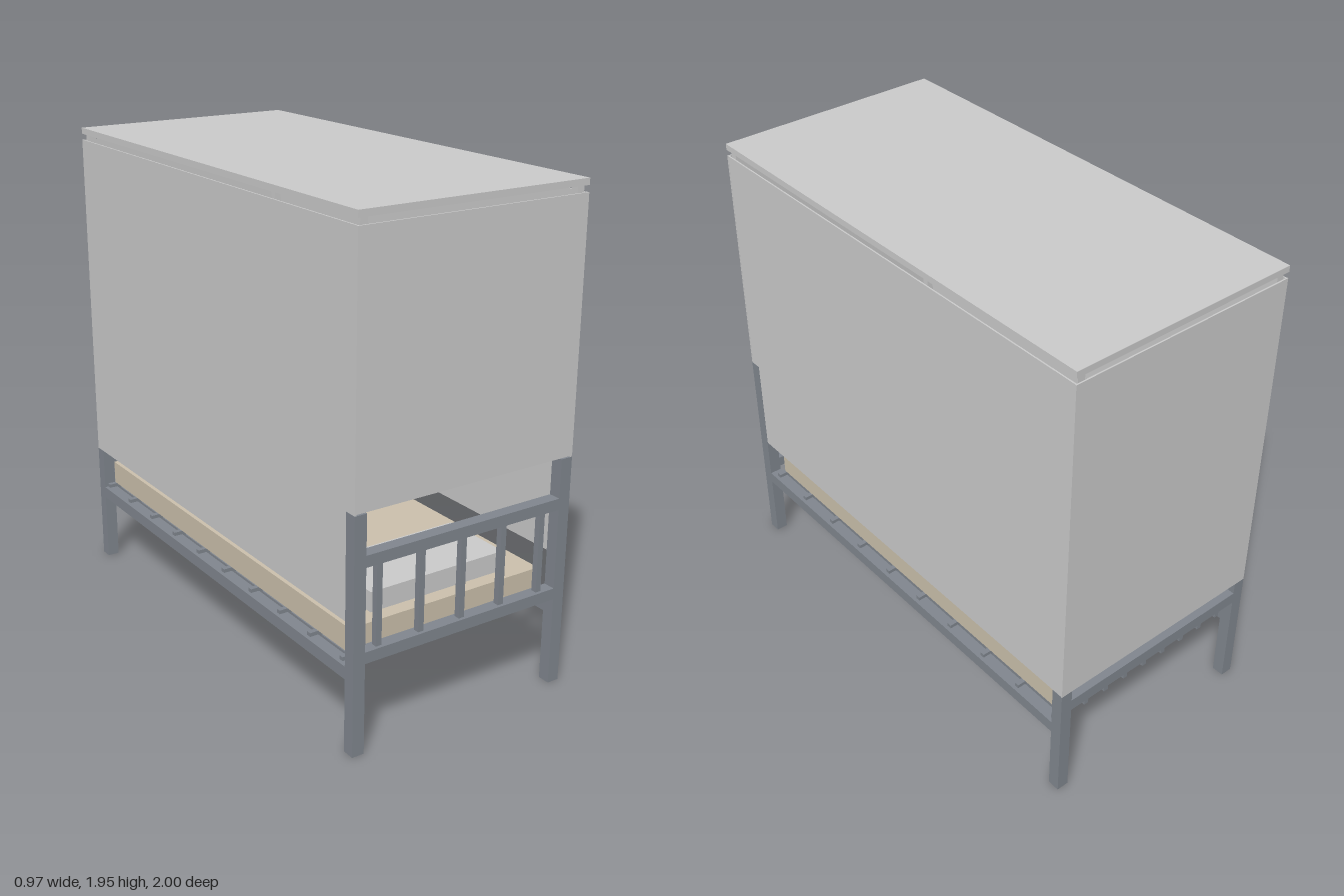
import * as THREE from 'three';

export function createModel() {
  const model = new THREE.Group();
  model.name = 'canopyBed';

  const mat = (name, color) => {
    const m = new THREE.MeshStandardMaterial({ color });
    m.name = name;
    return m;
  };
  const steel = mat('steel grey', 0x80868e);
  const cloth = mat('pale grey', 0xcacaca);
  const foam = mat('beige', 0xcbc0ac);

  // Box given by its minimum and maximum on each axis
  const block = (name, material, [x0, x1], [y0, y1], [z0, z1]) => {
    const mesh = new THREE.Mesh(new THREE.BoxGeometry(x1 - x0, y1 - y0, z1 - z0), material);
    mesh.position.set((x0 + x1) / 2, (y0 + y1) / 2, (z0 + z1) / 2);
    mesh.name = name;
    model.add(mesh);
    return mesh;
  };
  const span = (a, b) => [Math.min(a, b), Math.max(a, b)];

  const W = 0.485; // half width
  const P = 0.05; // post size
  const inner = W - P;

  for (const s of [-1, 1]) {
    const postX = span(s * W, s * inner);
    // Tall front legs, short back legs, side rails
    block('frontLeg', steel, postX, [0, 0.925], [0.95, 1]);
    block('backLeg', steel, postX, [0, 0.515], [-1, -0.95]);
    block('sideRail', steel, postX, [0.29, 0.34], [-0.95, 0.95]);
    // Canopy uprights, hidden behind the curtains except at the top
    for (const [z, y] of [[0.975, 0.925], [-0.975, 0.515]]) {
      block('canopyUpright', cloth, span(s * 0.44, s * 0.47), [y, 1.925], [z - 0.015, z + 0.015]);
    }
    // Side curtain
    block('sideCurtain', cloth, span(s * 0.478, s * 0.484), [0.515, 1.9], [-0.999, 0.999]);
  }

  // End curtains and canopy
  block('frontCurtain', cloth, [-W, W], [0.93, 1.9], [0.994, 1]);
  block('backCurtain', cloth, [-W, W], [0.515, 1.9], [-1, -0.994]);
  block('canopy', cloth, [-W, W], [1.925, 1.95], [-1, 1]);

  // Front end frame with upright bars
  block('frontTopRail', steel, [-inner, inner], [0.725, 0.77], [0.95, 1]);
  block('frontBottomRail', steel, [-inner, inner], [0.358, 0.403], [0.95, 1]);
  for (let i = -2; i <= 2; i++) {
    const x = i * 0.184;
    block('frontBar', steel, [x - 0.012, x + 0.012], [0.403, 0.725], [0.963, 0.987]);
  }

  // Back end rail
  block('backRail', steel, [-inner, inner], [0.415, 0.465], [-1, -0.95]);

  // Grid under the mattress
  for (let i = 0; i < 10; i++) {
    const z = 0.905 - i * 0.205;
    block('crossBar', steel, [-0.47, 0.47], [0.335, 0.355], [z - 0.01, z + 0.01]);
  }
  for (let i = -4; i <= 4; i++) {
    const x = i * 0.1025;
    block('longBar', steel, [x - 0.01, x + 0.01], [0.315, 0.335], [-0.95, 0.915]);
  }

  // Bedding
  block('mattress', foam, [-inner, inner], [0.355, 0.453], [-0.948, 0.908]);
  block('pillow', cloth, [-0.305, 0.305], [0.453, 0.533], [0.54, 0.85]);

  return model;
}
